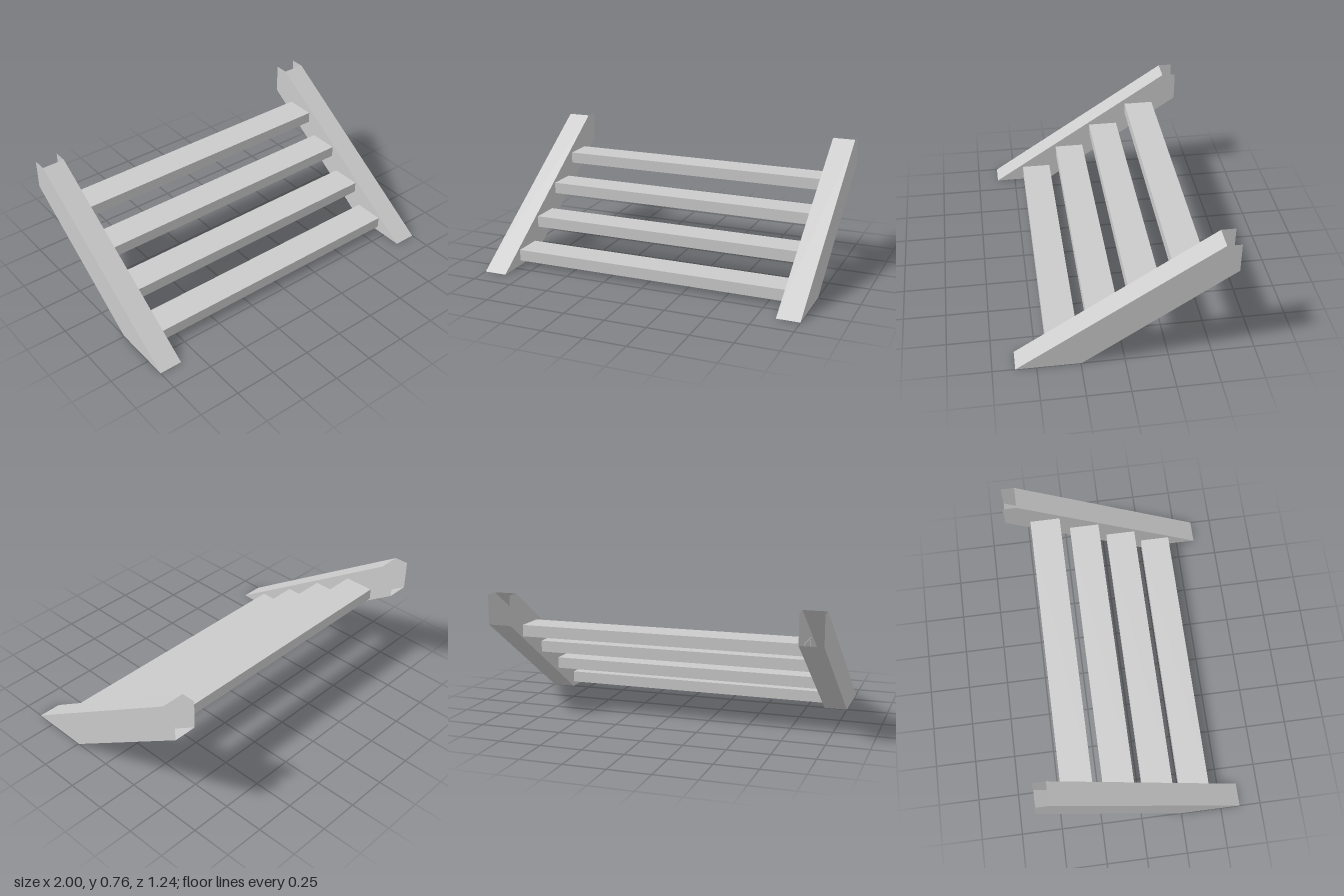
import * as THREE from 'three';

export function createModel() {
  const group = new THREE.Group();
  const material = new THREE.MeshStandardMaterial({
    color: 0xcccccc, flatShading: true, side: THREE.DoubleSide,
  });
  const add = (parent, geometry, name) => {
    const mesh = new THREE.Mesh(geometry, material);
    mesh.name = name;
    parent.add(mesh);
    return mesh;
  };

  // Stringer outline as (z, y); the foot and the head are left open
  const outline = [[0.62, 0], [-0.535, 0.76], [-0.62, 0.76], [-0.62, 0.58], [0.245, 0]]
    .map(([z, y]) => new THREE.Vector2(z, y));
  const width = 0.14;

  // Sloping plate across the stringer between two outline points
  const plate = (from, to) => {
    const d = to.clone().sub(from);
    const mid = from.clone().add(to).multiplyScalar(0.5);
    return new THREE.PlaneGeometry(width, d.length())
      .rotateX(Math.atan2(d.x, d.y))
      .translate(0, mid.y, mid.x);
  };

  for (const side of [-1, 1]) {
    const stringer = new THREE.Group();
    stringer.name = side > 0 ? 'leftStringer' : 'rightStringer';
    stringer.position.x = side * (1 - width / 2);
    for (const face of [-1, 1]) {
      const cheek = new THREE.ShapeGeometry(new THREE.Shape(outline)).rotateY(-Math.PI / 2);
      cheek.translate(face * width / 2, 0, 0);
      add(stringer, cheek, face === side ? 'outerCheek' : 'innerCheek');
    }
    add(stringer, plate(outline[0], outline[1]), 'topPlate');
    add(stringer, plate(outline[3], outline[4]), 'bottomPlate');
    group.add(stringer);
  }

  // Hollow treads: boxes without their two end faces, reaching just into the stringers
  const treads = [[0.065, 0.345], [0.215, 0.11], [0.375, -0.127], [0.522, -0.372]];
  treads.forEach(([y, z], i) => {
    const box = new THREE.BoxGeometry(1.725, 0.07, 0.186);
    box.setIndex(Array.from(box.index.array).slice(12));
    box.clearGroups();
    add(group, box, `tread${i + 1}`).position.set(0, y, z);
  });

  return group;
}
